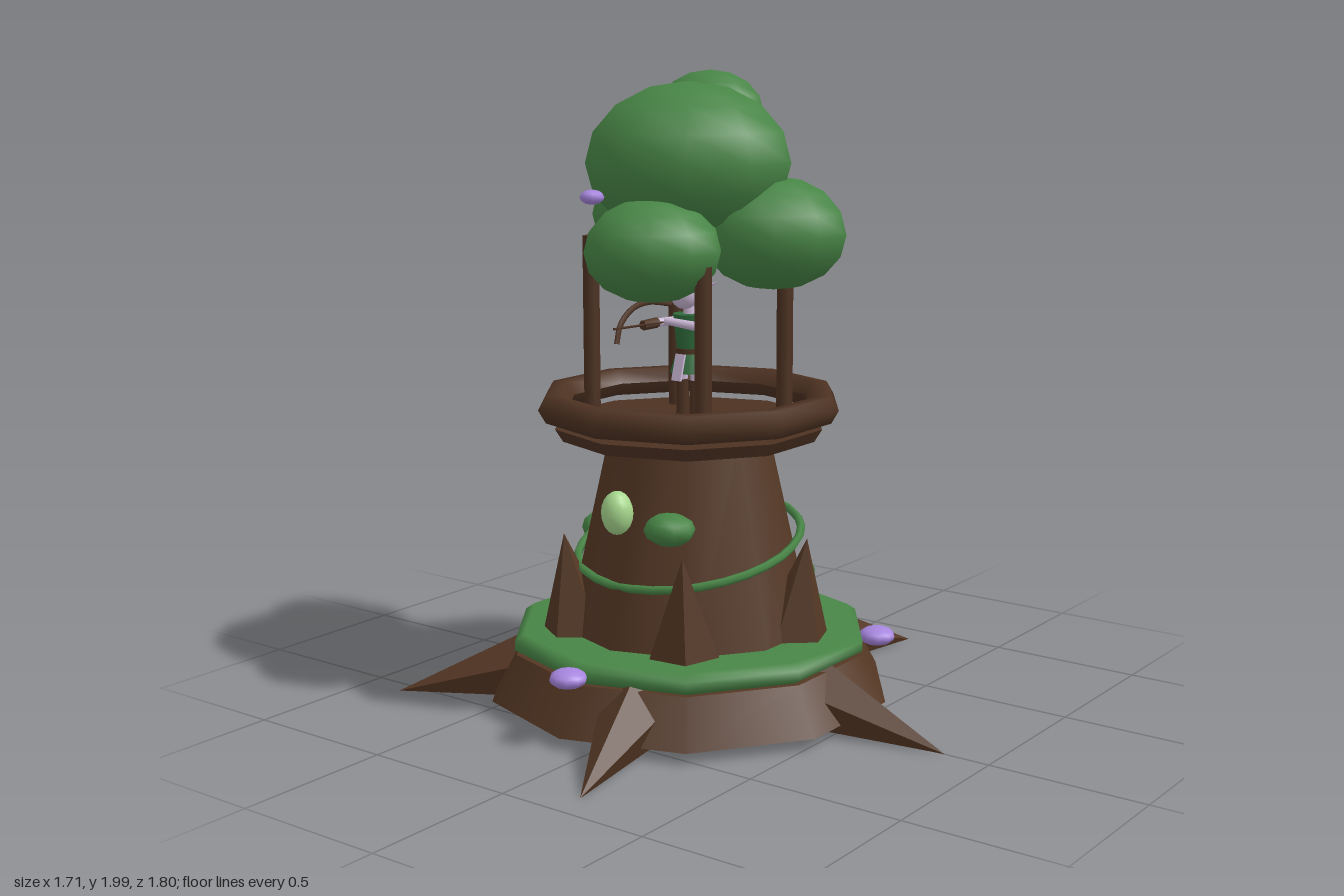
import * as THREE from 'three';

const paint = (name, color, extra = {}) => new THREE.MeshStandardMaterial({ name, color, ...extra });

export function createModel() {
  const bark = paint('bark', 0x543724);
  const barkFlat = paint('root bark', 0x543724, { flatShading: true });
  const timber = paint('timber', 0x4d3222);
  const leaf = paint('leaf green', 0x488546);
  const tunicGreen = paint('tunic green', 0x2f6b3c);
  const purple = paint('flower purple', 0xa685de);
  const skin = paint('pale lavender', 0xcbb8d6);
  const glow = paint('lantern green', 0xa6d68c);

  const root = new THREE.Group();
  root.name = 'treeTower';
  const tower = new THREE.Group();
  tower.name = 'tower';
  tower.position.x = -0.093;
  root.add(tower);

  const add = (name, geometry, material, x = 0, y = 0, z = 0, parent = tower) => {
    const mesh = new THREE.Mesh(geometry, material);
    mesh.name = name;
    mesh.position.set(x, y, z);
    parent.add(mesh);
    return mesh;
  };
  const blob = (name, material, [x, y, z], [rx, ry, rz], w = 10, h = 8, parent = tower) => {
    const geo = new THREE.SphereGeometry(1, w, h).rotateY(Math.PI / 2).scale(rx, ry, rz);
    return add(name, geo, material, x, y, z, parent);
  };
  const drum = (name, material, rTop, rBottom, y0, y1, sides = 10, x = 0, z = 0, parent = tower) =>
    add(name, new THREE.CylinderGeometry(rTop, rBottom, y1 - y0, sides), material, x, (y0 + y1) / 2, z, parent);
  const ring = (name, material, profile) =>
    add(name, new THREE.LatheGeometry(profile.map(p => new THREE.Vector2(...p)), 10), material);
  // Tapered rod from a to b
  const rod = (name, material, a, b, ra, rb, sides = 6, parent = tower, spin = 0) => {
    const A = new THREE.Vector3(...a), B = new THREE.Vector3(...b);
    const geo = new THREE.CylinderGeometry(rb, ra, A.distanceTo(B), sides).rotateY(spin);
    const mesh = add(name, geo, material, 0, 0, 0, parent);
    mesh.position.copy(A).lerp(B, 0.5);
    mesh.quaternion.setFromUnitVectors(new THREE.Vector3(0, 1, 0), B.sub(A).normalize());
    return mesh;
  };
  const polar = (r, deg, y) => {
    const a = deg * Math.PI / 180;
    return [r * Math.cos(a), y, r * Math.sin(a)];
  };

  // Base, trunk and mossy ledge
  drum('base', bark, 0.57, 0.65, 0.045, 0.19);
  drum('trunk', bark, 0.262, 0.43, 0.15, 0.88);
  ring('mossLedge', leaf, [[0.37, 0.187], [0.545, 0.187], [0.574, 0.205], [0.574, 0.235], [0.545, 0.255], [0.37, 0.255]]);

  // Spreading roots: five-sided cones, ridge up
  for (let i = 0; i < 5; i++) {
    const arm = new THREE.Group();
    arm.name = 'rootArm';
    arm.rotation.y = i * Math.PI * 2 / 5;
    tower.add(arm);
    rod('root', barkFlat, [0.46, 0.113, 0], [0.945, 0.01, 0], 0.125, 0, 5, arm, -Math.PI / 2);
  }

  // Buttress spikes around the trunk
  for (const [deg, tipR, tipY] of [[-10, 0.41, 0.57], [56, 0.42, 0.57], [127, 0.41, 0.57], [192, 0.41, 0.57], [270, 0.385, 0.52]])
    rod('buttress', barkFlat, polar(0.37, deg, 0.25), polar(tipR, deg, tipY), 0.115, 0, 5, tower, deg);

  // Lookout platform, open rail ring and posts
  drum('platform', timber, 0.435, 0.41, 0.865, 0.905);
  const hex = [];
  for (let i = 0; i <= 6; i++) {
    const a = -Math.PI + i * Math.PI / 3;
    hex.push([0.44 + 0.048 * Math.cos(a), 0.968 + 0.048 * Math.sin(a)]);
  }
  ring('railRing', timber, hex);
  for (const x of [-0.216, 0.216])
    for (const z of [-0.217, 0.217])
      drum('post', timber, 0.026, 0.026, 0.89, 1.5, 6, x, z);

  // Canopy
  for (const [p, r] of [
    [[0, 1.725, 0], [0.33, 0.245, 0.33]],
    [[-0.09, 1.87, -0.235], [0.18, 0.13, 0.167]],
    [[-0.235, 1.545, -0.14], [0.215, 0.167, 0.215]],
    [[0.245, 1.508, -0.11], [0.23, 0.175, 0.235]],
    [[0.046, 1.472, 0.24], [0.213, 0.158, 0.217]],
  ]) blob('canopyClump', leaf, p, r);

  // Tilted vine and leaf tufts
  const vinePoints = [];
  for (let i = 0; i < 12; i++) {
    const a = i * 30;
    vinePoints.push(new THREE.Vector3(...polar(0.357, a, 0.52 - 0.075 * Math.sin(a * Math.PI / 180))));
  }
  add('vine', new THREE.TubeGeometry(new THREE.CatmullRomCurve3(vinePoints, true), 30, 0.014, 5, true), leaf);
  blob('leafTuft', leaf, [0.158, 0.64, 0.31], [0.083, 0.05, 0.075], 8, 6);
  blob('leafTuft', leaf, [-0.365, 0.51, 0], [0.06, 0.052, 0.07], 8, 6);
  blob('leafTuft', leaf, [0.215, 0.38, -0.31], [0.055, 0.042, 0.055], 8, 6);

  // Flowers and lantern
  for (const deg of [90, 210, 330]) blob('flower', purple, polar(0.603, deg, 0.22), [0.058, 0.03, 0.058]);
  blob('canopyFlower', purple, [-0.152, 1.625, 0.285], [0.038, 0.023, 0.038], 8, 6);
  blob('lantern', glow, [0, 0.68, 0.365], [0.05, 0.068, 0.05], 12, 10);

  // Archer
  const archer = new THREE.Group();
  archer.name = 'archer';
  tower.add(archer);
  for (const s of [-1, 1]) {
    drum('boot', timber, 0.019, 0.021, 0.905, 1.04, 8, s * 0.026, 0, archer);
    drum('thigh', skin, 0.019, 0.017, 1.04, 1.1, 8, s * 0.026, 0, archer);
    blob('shoulder', tunicGreen, [s * 0.046, 1.225, 0], [0.022, 0.022, 0.022], 8, 6, archer);
    rod('ear', skin, [s * 0.04, 1.32, 0.02], [s * 0.115, 1.36, -0.005], 0.016, 0, 5, archer);
  }
  drum('skirt', tunicGreen, 0.04, 0.062, 1.065, 1.135, 10, 0, 0, archer);
  add('sash', new THREE.BoxGeometry(0.035, 0.085, 0.008), skin, 0, 1.085, 0.055, archer).rotation.x = -0.28;
  drum('belt', timber, 0.043, 0.043, 1.125, 1.142, 10, 0, 0, archer);
  drum('torso', tunicGreen, 0.052, 0.04, 1.14, 1.25, 10, 0, 0, archer);
  drum('neck', skin, 0.016, 0.018, 1.245, 1.28, 8, 0, 0, archer);
  blob('head', skin, [0, 1.32, 0.022], [0.048, 0.054, 0.05], 10, 8, archer);
  blob('cap', tunicGreen, [0, 1.338, -0.02], [0.056, 0.055, 0.058], 10, 8, archer);
  rod('capTip', tunicGreen, [0, 1.34, -0.03], [0, 1.3, -0.105], 0.04, 0, 8, archer);

  // Arms, bow and arrow
  rod('bowArm', skin, [-0.046, 1.225, 0], [-0.068, 1.225, 0.09], 0.015, 0.013, 7, archer);
  rod('bowGlove', timber, [-0.066, 1.225, 0.08], [-0.074, 1.222, 0.14], 0.017, 0.016, 7, archer);
  rod('drawArm', skin, [0.046, 1.225, 0], [0.068, 1.22, 0.05], 0.015, 0.014, 7, archer);
  rod('drawForearm', skin, [0.068, 1.22, 0.05], [-0.03, 1.235, 0.085], 0.015, 0.012, 7, archer);
  const bowCurve = new THREE.CatmullRomCurve3([
    [-0.065, 1.18, 0.28], [-0.075, 1.235, 0.25], [-0.08, 1.28, 0.18], [-0.07, 1.292, 0.11], [-0.04, 1.28, 0.04],
  ].map(p => new THREE.Vector3(...p)));
  add('bow', new THREE.TubeGeometry(bowCurve, 12, 0.009, 6), timber, 0, 0, 0, archer);
  rod('arrow', timber, [-0.05, 1.225, 0.04], [-0.072, 1.228, 0.285], 0.004, 0.004, 5, archer);

  return root;
}
